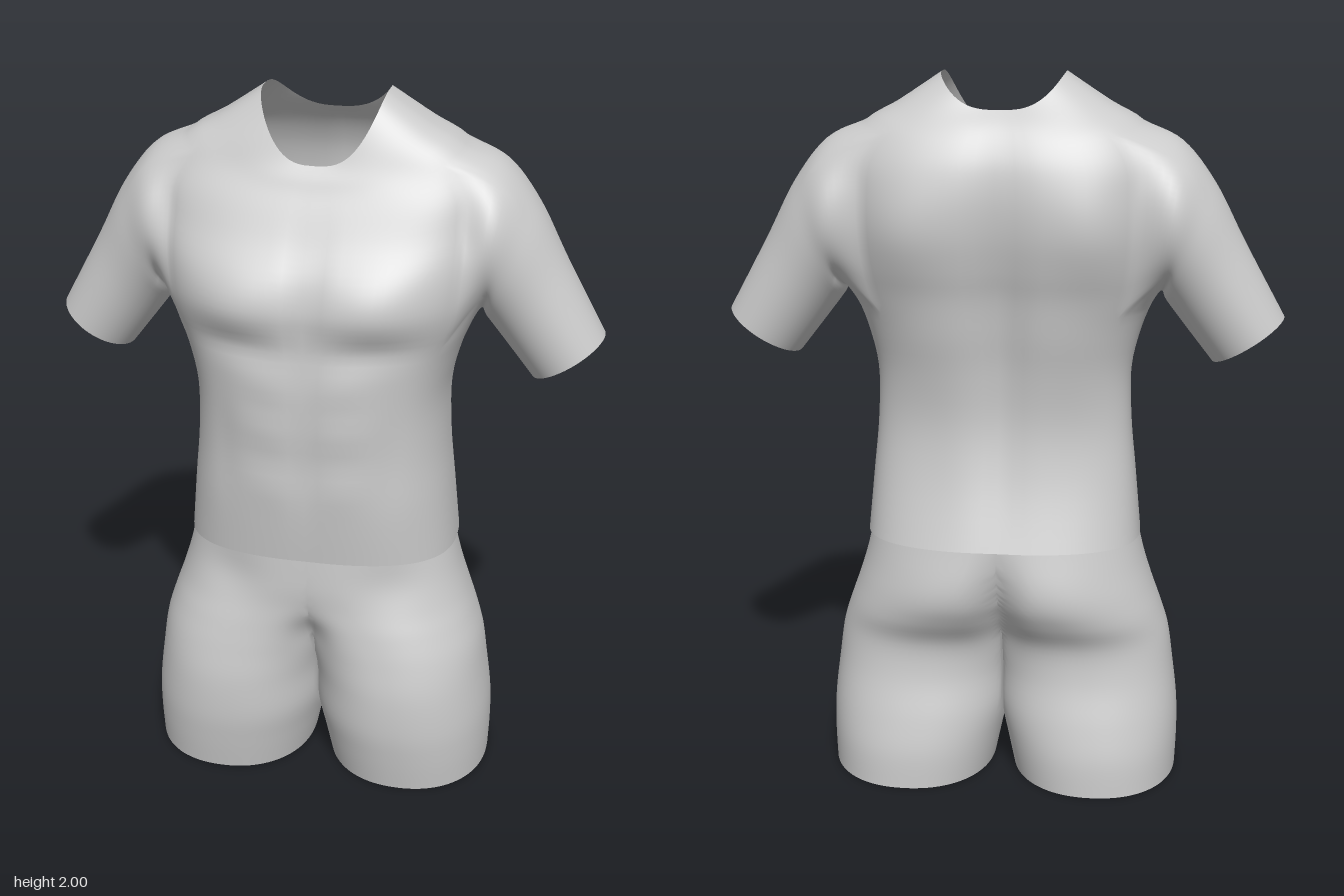
import * as THREE from 'three';
import { mergeGeometries, mergeVertices } from 'three/addons/utils/BufferGeometryUtils.js';

const spow = (v, e) => Math.sign(v) * Math.abs(v) ** e;

// Catmull-Rom through rows of numbers; t counts rows
function sample(rows, t) {
  const n = rows.length - 1, i = Math.min(Math.floor(t), n - 1), f = t - i;
  const [a, b, c, d] = [i - 1, i, i + 1, i + 2].map(k => rows[Math.max(0, Math.min(n, k))]);
  return b.map((p, k) => p + 0.5 * f * (c[k] - a[k] + f * (2 * a[k] - 5 * p + 4 * c[k] - d[k]
    + f * (3 * (p - c[k]) + d[k] - a[k]))));
}

// Skin over rings of [x, y, z] points
function skin(rings, closed, keep = () => true) {
  const n = rings[0].length, index = [];
  for (let i = 0; i < rings.length - 1; i++) {
    for (let j = 0; j < (closed ? n : n - 1); j++) {
      if (!keep(i, j)) continue;
      const k = (j + 1) % n;
      const a = i * n + j, b = i * n + k, c = (i + 1) * n + k, d = (i + 1) * n + j;
      index.push(a, d, b, b, d, c);
    }
  }
  const geo = new THREE.BufferGeometry();
  geo.setAttribute('position', new THREE.Float32BufferAttribute(rings.flat(2), 3));
  geo.setIndex(index);
  return geo;
}

// Join half-body pieces with their mirror image and weld the seams
function mirrored(parts) {
  const half = mergeGeometries(parts);
  const other = half.clone().scale(-1, 1, 1);
  const ix = other.index.array;
  for (let i = 0; i < ix.length; i += 3) [ix[i], ix[i + 1]] = [ix[i + 1], ix[i]];
  const geo = mergeVertices(mergeGeometries([half, other]), 1e-4);
  geo.computeVertexNormals();
  return geo;
}

// Muscle relief: [side (+1 front, -1 back), x, y, width, height, amount]
const relief = (bumps, side, x, y) => bumps.reduce((sum, [s, bx, by, w, h, amt]) =>
  s * side > 0 ? sum + amt * Math.exp(-(((x - bx) / w) ** 2) - ((y - by) / h) ** 2) : sum, 0);

// Shirt levels: side y, half width, front y, front z, back y, back z, roundness
const SHIRT = [
  [0.725, 0.387, 0.745, 0.265, 0.73, -0.285, 0.8],
  [0.9, 0.37, 0.9, 0.283, 0.9, -0.23, 0.8],
  [1.05, 0.355, 1.05, 0.288, 1.05, -0.207, 0.8],
  [1.2, 0.352, 1.2, 0.297, 1.2, -0.22, 0.8],
  [1.32, 0.378, 1.32, 0.295, 1.32, -0.242, 0.8],
  [1.42, 0.415, 1.42, 0.295, 1.42, -0.26, 0.78],
  [1.5, 0.432, 1.49, 0.295, 1.5, -0.28, 0.77],
  [1.6, 0.44, 1.57, 0.275, 1.59, -0.295, 0.76],
  [1.7, 0.44, 1.65, 0.228, 1.68, -0.297, 0.76],
  [1.79, 0.43, 1.72, 0.19, 1.76, -0.285, 0.76],
  [1.873, 0.37, 1.765, 0.165, 1.82, -0.262, 0.74],
  [1.925, 0.28, 1.8, 0.148, 1.87, -0.23, 0.71],
  [2.0, 0.165, 1.83, 0.13, 1.91, -0.19, 0.68],
];
const SHIRT_RELIEF = [
  [1, 0.19, 1.5, 0.14, 0.09, 0.026],      // chest
  [1, 0.19, 1.38, 0.14, 0.04, -0.015],    // fold below chest
  [1, 0, 1.5, 0.035, 0.16, -0.012],       // breastbone
  [1, 0, 1.1, 0.035, 0.25, -0.007],       // midline
  [1, 0.1, 1.28, 0.08, 0.05, 0.006],      // abdominals
  [1, 0.1, 1.14, 0.08, 0.05, 0.006],
  [1, 0.1, 0.98, 0.08, 0.06, 0.006],
  [1, 0.23, 1.1, 0.04, 0.2, -0.006],
  [1, 0.28, 1.82, 0.12, 0.05, -0.01],     // below collarbone
  [-1, 0, 1.4, 0.07, 0.4, -0.032],        // spine
  [-1, 0.26, 1.6, 0.12, 0.15, 0.026],     // shoulder blade
  [-1, 0.2, 1.3, 0.14, 0.15, 0.01],
  [-1, 0.1, 1.0, 0.08, 0.2, 0.006],
];
const COLS = 48, SUB = 4;
const HOLE = { r0: 18, r1: 40, c0: 13, c1: 33 };

function makeShirt() {
  const rings = [];
  for (let i = 0; i <= (SHIRT.length - 1) * SUB; i++) {
    const [y, w, yF, zF, yB, zB, e] = sample(SHIRT, i / SUB);
    const ring = [];
    for (let j = 0; j <= COLS; j++) {
      const a = -Math.PI / 2 + Math.PI * j / COLS, s = Math.sin(a);
      const x = j % COLS ? w * Math.cos(a) ** e : 0;
      const py = y + ((s > 0 ? yF : yB) - y) * s * s;
      const reach = s > 0 ? zF + 0.03 : -0.03 - zB;
      const z = -0.03 + reach * spow(s, e) + relief(SHIRT_RELIEF, s, x, py) * s;
      ring.push([x, py, z]);
    }
    rings.push(ring);
  }
  const { r0, r1, c0, c1 } = HOLE;
  const torso = skin(rings, false, (i, j) => i < r0 || i >= r1 || j < c0 || j >= c1);

  // Armhole edge sorted around its centre; q lies on the torso behind each edge point
  const loop = [];
  for (let i = r0; i <= r1; i++) {
    for (let j = c0; j <= c1; j++) {
      if (i > r0 && i < r1 && j > c0 && j < c1) continue;
      const p = rings[i][j];
      const qi = i === r0 ? i - 3 : i === r1 ? i + 4 : i;
      const qj = j === c0 ? j - 4 : j === c1 ? j + 4 : j;
      loop.push({ p, q: rings[qi][qj], a: Math.atan2((p[1] - 1.62) / 0.24, (p[2] + 0.04) / 0.19) });
    }
  }
  loop.sort((m, n) => m.a - n.a);

  // Sleeve rings: outer x, y, inner x, y, centre z, half depth
  const sleeveKeys = [
    [0.475, 1.825, 0.427, 1.425, -0.05, 0.195],
    [0.565, 1.715, 0.442, 1.4, -0.053, 0.17],
    [0.648, 1.56, 0.49, 1.337, -0.055, 0.145],
    [0.76, 1.36, 0.57, 1.235, -0.055, 0.125],
  ];
  const paths = loop.map(({ p, q, a }) => [q, p, ...sleeveKeys.map(([ox, oy, ix, iy, z, d]) => {
    const k = (1 + Math.sin(a)) / 2;
    return [ix + (ox - ix) * k, iy + (oy - iy) * k, z + d * Math.cos(a)];
  })]);
  const sleeveRings = [];
  for (let i = 0; i <= 24; i++) sleeveRings.push(paths.map(path => sample(path, 1 + i / 6)));
  return mirrored([torso, skin(sleeveRings, true)]);
}

// Leg levels: y, centre x, half width, front z, back z
const LEG = [
  [0, 0.267, 0.238, 0.25, -0.28],
  [0.1, 0.258, 0.25, 0.268, -0.276],
  [0.2, 0.246, 0.259, 0.281, -0.256],
  [0.32, 0.235, 0.255, 0.281, -0.225],
  [0.42, 0.21, 0.265, 0.268, -0.222],
  [0.5, 0.165, 0.285, 0.256, -0.258],
  [0.57, 0.1, 0.325, 0.25, -0.283],
  [0.65, 0.04, 0.36, 0.252, -0.29],
  [0.755, 0, 0.375, 0.25, -0.278],
];
const LEG_RELIEF = [
  [-1, 0, 0.56, 0.05, 0.13, -0.045],   // cleft
  [-1, 0.17, 0.58, 0.12, 0.1, 0.01],   // buttock
  [1, 0.24, 0.66, 0.1, 0.08, -0.018],  // hip crease
  [1, 0, 0.47, 0.05, 0.06, -0.02],     // crotch hollow
];

function makeShorts() {
  const rings = [], N = 96;
  for (let i = 0; i <= (LEG.length - 1) * 5; i++) {
    const [y, cx, w, zF, zB] = sample(LEG, i / 5);
    const ring = [];
    for (let j = 0; j < N; j++) {
      const a = Math.PI * 2 * j / N, s = Math.sin(a);
      const x = Math.max(y > 0.45 ? 0 : 0.003, cx + w * spow(Math.cos(a), 0.92));
      const reach = s > 0 ? zF + 0.01 : -0.01 - zB;
      ring.push([x, y, -0.01 + reach * spow(s, 0.92) + relief(LEG_RELIEF, s, x, y) * s]);
    }
    rings.push(ring);
  }
  // No wall between the two halves above the crotch
  const keep = (i, j) => [rings[i][j], rings[i][(j + 1) % N], rings[i + 1][j], rings[i + 1][(j + 1) % N]]
    .some(p => p[0] > 0.0001);
  return mirrored([skin(rings, true, keep)]);
}

export function createModel() {
  const group = new THREE.Group();
  group.name = 'shirtAndShorts';
  const material = new THREE.MeshStandardMaterial({ color: 0xcccccc, side: THREE.DoubleSide });
  for (const [name, geo] of [['shirt', makeShirt()], ['shorts', makeShorts()]]) {
    const mesh = new THREE.Mesh(geo, material);
    mesh.name = name;
    group.add(mesh);
  }
  return group;
}
